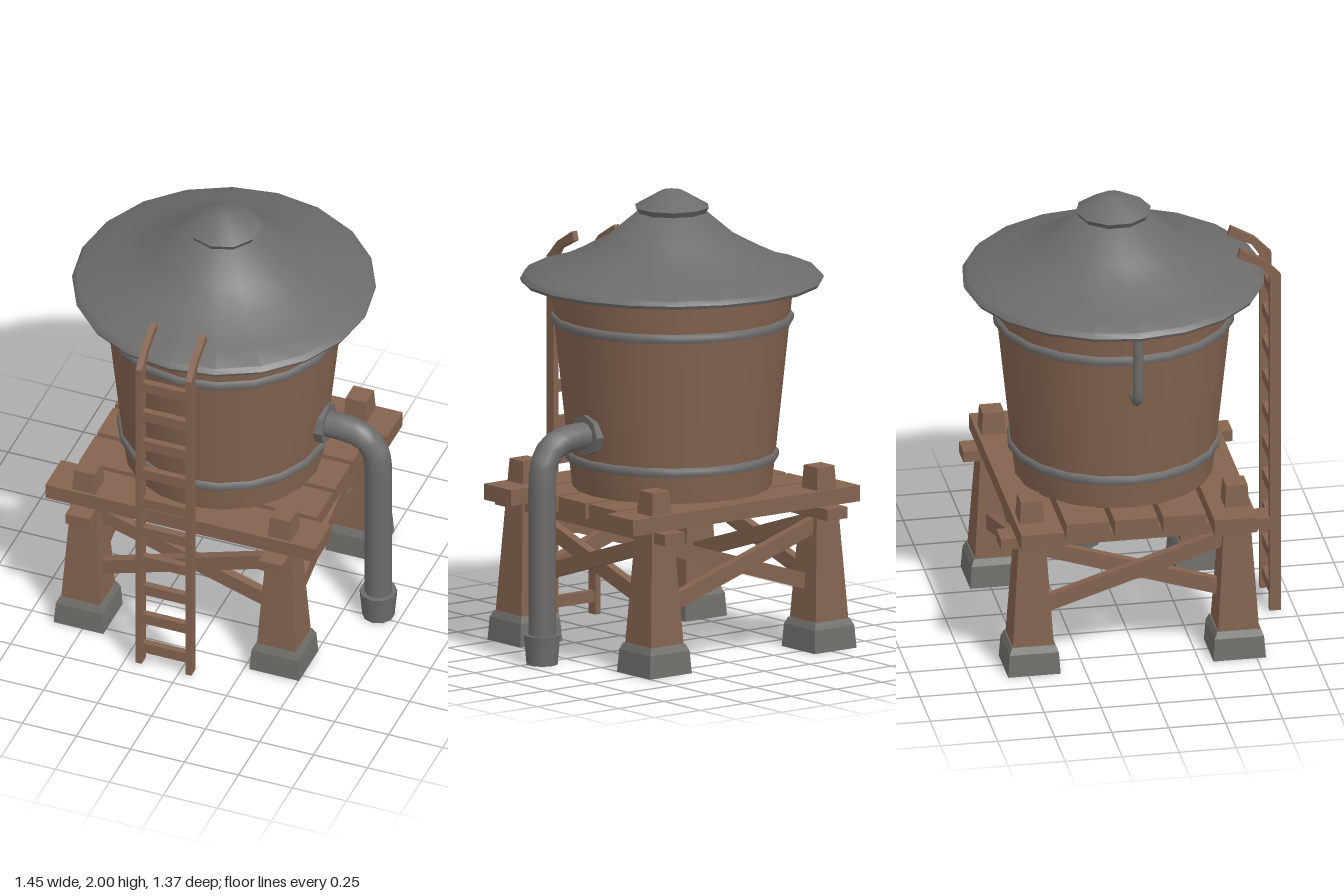
import * as THREE from 'three';
import { toCreasedNormals } from 'three/addons/utils/BufferGeometryUtils.js';

const mat = (name, color) => {
  const m = new THREE.MeshStandardMaterial({ color });
  m.name = name;
  return m;
};

export function createModel() {
  const wood = mat('wood', 0x84634f);
  const metal = mat('metal', 0x6e6c6a);
  const stone = mat('stone', 0x706e6a);
  const CX = -0.065, CZ = -0.025;
  const model = new THREE.Group();
  model.name = 'waterTower';

  const add = (name, geo, material, x = 0, y = 0, z = 0, parent = model) => {
    const mesh = new THREE.Mesh(geo, material);
    mesh.name = name;
    mesh.position.set(x, y, z);
    parent.add(mesh);
    return mesh;
  };
  const box = (w, h, d) => new THREE.BoxGeometry(w, h, d);
  const lathe = (pts, sides, crease = 0.5) => toCreasedNormals(
    new THREE.LatheGeometry(pts.map(([r, y]) => new THREE.Vector2(r, y)), sides), crease);
  // square post, half-width b at the bottom and t at the top, standing on y = 0
  const post = (b, t, h) => toCreasedNormals(
    new THREE.CylinderGeometry(t * Math.SQRT2, b * Math.SQRT2, h, 4)
      .rotateY(Math.PI / 4).translate(0, h / 2, 0), 0.4);

  // tank and its hoops
  add('tank', lathe([[0, 0.7], [0.43, 0.7], [0.447, 0.84], [0.51, 1.44], [0.527, 1.61]], 20), wood, CX, 0, CZ);
  for (const [y, r] of [[0.84, 0.462], [1.44, 0.526]]) {
    add('hoop', lathe([[r - 0.03, y - 0.02], [r - 0.004, y - 0.02], [r, y - 0.008],
      [r, y + 0.008], [r - 0.008, y + 0.02], [r - 0.03, y + 0.02]], 20, 1), metal, CX, 0, CZ);
  }

  // flared roof and cap
  add('roof', lathe([[0, 1.605], [0.52, 1.605], [0.65, 1.598], [0.657, 1.612], [0.64, 1.632],
    [0.535, 1.662], [0.4, 1.725], [0.28, 1.79], [0.15, 1.9], [0, 1.92]], 20, 0.6), metal, CX, 0, CZ);
  add('roofCap', lathe([[0, 1.87], [0.14, 1.885], [0.165, 1.925], [0.045, 1.994], [0, 2]], 10, 0.7), metal, CX, 0, CZ);

  // legs on stone feet
  for (const sx of [-1, 1]) for (const sz of [-1, 1]) {
    const x = CX + sx * 0.453, z = CZ + sz * 0.45;
    add('leg', post(0.098, 0.047, 0.8), wood, x, 0, z);
    add('footBase', post(0.115, 0.108, 0.1), stone, x, 0, z);
    add('footTop', post(0.108, 0.095, 0.03), stone, x, 0.1, z);
  }

  // deck planks over two cross beams
  for (let i = -2; i <= 2; i++) {
    const outer = Math.abs(i) === 2;
    add('plank', box(outer ? 1.25 : 1.1, 0.07, 0.188), wood, CX, 0.665, CZ + i * 0.212);
  }
  for (const s of [-1, 1]) add('crossBeam', box(0.11, 0.05, 1.18), wood, CX + s * 0.447, 0.606, -0.02);

  // crossed braces on the four sides
  for (let i = 0; i < 4; i++) {
    const side = new THREE.Group();
    side.name = 'bracing';
    side.position.set(CX, 0.42, CZ);
    side.rotation.y = i * Math.PI / 2;
    for (const s of [-1, 1]) {
      add('brace', box(0.88, 0.068, 0.04), wood, 0, 0, 0.45 + s * 0.02, side).rotation.z = s * 0.31;
    }
    model.add(side);
  }

  // ladder with rails hooked over the roof edge
  const railShape = new THREE.Shape([[0.637, 0.01], [0.687, 0.01], [0.687, 1.61], [0.615, 1.685],
    [0.51, 1.745], [0.497, 1.705], [0.6, 1.655], [0.637, 1.6]].map(p => new THREE.Vector2(...p)));
  for (const x of [-0.182, 0.048]) {
    const g = new THREE.ExtrudeGeometry(railShape, { depth: 0.028, bevelEnabled: false });
    add('ladderRail', g.rotateY(-Math.PI / 2).translate(0.014, 0, 0), wood, x);
  }
  for (let i = 0; i < 10; i++) add('rung', box(0.22, 0.05, 0.03), wood, -0.067, 0.09 + i * 0.158, 0.66);

  // pipe that follows straight runs joined by one rounded elbow
  const pipe = (name, a, corner, b, bend, r, sides) => {
    const [A, C, B] = [a, corner, b].map(([x, y]) => new THREE.Vector3(x, y, CZ));
    const p = C.clone().add(A.clone().sub(C).setLength(bend));
    const q = C.clone().add(B.clone().sub(C).setLength(bend));
    const elbow = new THREE.QuadraticBezierCurve3(p, C, q).getPoints(4);
    const path = new THREE.CurvePath();
    const pts = [A, ...elbow, B];
    for (let i = 0; i < pts.length - 1; i++) path.add(new THREE.LineCurve3(pts[i], pts[i + 1]));
    add(name, new THREE.TubeGeometry(path, 40, r, sides), metal);
  };
  pipe('outletPipe', [0.36, 0.975], [0.65, 0.975], [0.65, 0.05], 0.17, 0.06, 12);
  pipe('overflowPipe', [-0.53, 1.265], [-0.66, 1.265], [-0.66, 1.61], 0.07, 0.024, 8);

  // outlet flange and ground collar
  const flange = toCreasedNormals(new THREE.CylinderGeometry(0.09, 0.09, 0.05, 8), 0.4).rotateZ(Math.PI / 2);
  add('outletFlange', flange, metal, 0.395, 0.975, CZ);
  add('pipeCollar', toCreasedNormals(new THREE.CylinderGeometry(0.082, 0.07, 0.13, 10), 0.7), metal, 0.65, 0.065, CZ);
  return model;
}
